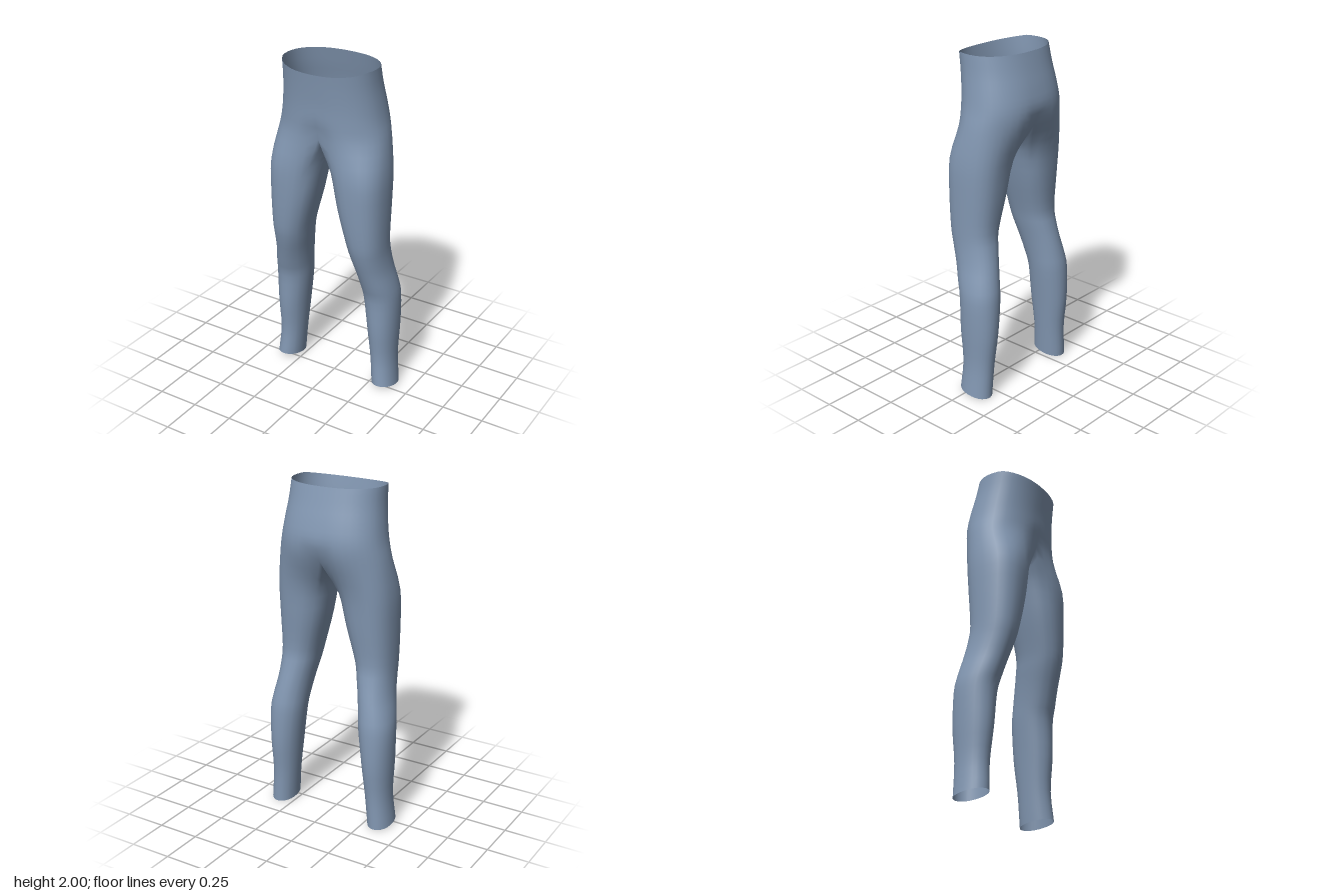
import * as THREE from 'three';
import { mergeVertices } from 'three/addons/utils/BufferGeometryUtils.js';

const OUTER = 20;  // steps around the outside of one leg, front centre to back centre
const INNER = 10;  // steps along the inside of the leg
const STEPS = 3;   // rows between two key sections

// hip sections: y, half width, back z, front z, groove depth at the centre line
const HIPS = [
  [2.0, 0.28, -0.16, 0.225, 0],
  [1.9, 0.285, -0.185, 0.215, 0],
  [1.8, 0.297, -0.212, 0.205, 0.01],
  [1.7, 0.312, -0.229, 0.2, 0.03],
  [1.59, 0.335, -0.217, 0.2, 0.16],
];
// leg sections: y, inner x, outer x, back z, front z, squareness
const LEGS = [
  [1.4, 0.035, 0.36, -0.145, 0.2, 2.4],
  [1.2, 0.08, 0.362, -0.122, 0.196, 2.4],
  [1.0, 0.132, 0.36, -0.102, 0.18, 2.3],
  [0.9, 0.152, 0.362, -0.115, 0.16, 2.2],
  [0.8, 0.172, 0.373, -0.137, 0.13, 2.1],
  [0.7, 0.188, 0.393, -0.157, 0.1, 2.1],
  [0.6, 0.2, 0.405, -0.17, 0.075, 2.1],
  [0.4, 0.225, 0.402, -0.17, 0.068, 2.1],
  [0.2, 0.246, 0.395, -0.15, 0.05, 2.1],
  [0.015, 0.262, 0.41, -0.145, 0.06, 2.1],
];

const power = (v, p) => Math.sign(v) * Math.pow(Math.abs(v), 2 / p);

// point on a half section of the hips, angle 0 = front, PI = back
function hipPoint([y, w, back, front, groove], angle, row) {
  const mid = (front + back) / 2, depth = (front - back) / 2;
  const x = w * power(Math.max(0, Math.sin(angle)), 2.25);
  let z = mid + depth * power(Math.cos(angle), 2.25);
  z *= 1 - groove * Math.exp(-((x / 0.09) ** 2));
  const dip = row === 0 ? 0.025 * Math.max(0, (z - 0.1) / 0.125) : 0;
  return new THREE.Vector3(x < 1e-5 ? 0 : x, y - dip, z);
}

// point on a leg section, angle 0 = front, PI / 2 = outside
function legPoint([y, inner, outer, back, front, p], angle, row) {
  const x = (inner + outer) / 2 + (outer - inner) / 2 * power(Math.sin(angle), p);
  const z = (front + back) / 2 + (front - back) / 2 * power(Math.cos(angle), p);
  const hem = row === LEGS.length - 1;
  return new THREE.Vector3(x, hem ? 0.03 * (z - back) / (front - back) : y, z);
}

// lengthwise lines of one half; inner lines start at the crotch seam
function halfColumns() {
  const columns = [];
  const lastHip = HIPS[HIPS.length - 1];
  const seamFront = hipPoint(lastHip, 0, 1), seamBack = hipPoint(lastHip, Math.PI, 1);
  for (let j = 0; j < OUTER + INNER; j++) {
    const outside = j <= OUTER;
    let keys, angle;
    if (outside) {
      const phi = Math.PI * j / OUTER;
      angle = -Math.PI / 4 + phi * 1.5;
      keys = HIPS.map((h, i) => hipPoint(h, phi, i));
    } else {
      const t = (j - OUTER) / INNER;
      angle = Math.PI * (1.25 + 0.5 * t);
      const bow = Math.abs(2 * t - 1) ** 2;
      keys = [new THREE.Vector3(0, 1.475 + (lastHip[0] - 1.475) * bow,
        THREE.MathUtils.lerp(seamBack.z, seamFront.z, t))];
    }
    LEGS.forEach((l, i) => keys.push(legPoint(l, angle, i)));
    const points = new THREE.CatmullRomCurve3(keys, false, 'catmullrom', 0.5)
      .getPoints((keys.length - 1) * STEPS);
    const hipRows = (HIPS.length - 1) * STEPS;
    if (j === 0 || j === OUTER) for (let i = 0; i <= hipRows; i++) points[i].x = 0;
    // pad inner lines so that rows match
    columns.push(outside ? points : [...Array(hipRows).fill(null), ...points]);
  }
  return columns;
}

function trousersGeometry() {
  const columns = halfColumns(), count = columns.length, positions = [];
  const triangle = (a, b, c) => {
    for (const v of [a, b, c]) positions.push(v.x, v.y, v.z);
    for (const v of [a, c, b]) positions.push(v.x === 0 ? 0 : -v.x, v.y, v.z);
  };
  for (let j = 0; j < count; j++) {
    const left = columns[j], right = columns[(j + 1) % count];
    for (let i = 0; i < left.length - 1; i++) {
      if (!left[i] || !right[i] || (j >= OUTER && i < (HIPS.length - 1) * STEPS)) continue;
      triangle(left[i], left[i + 1], right[i + 1]);
      triangle(left[i], right[i + 1], right[i]);
    }
  }
  const geometry = new THREE.BufferGeometry();
  geometry.setAttribute('position', new THREE.Float32BufferAttribute(positions, 3));
  const merged = mergeVertices(geometry, 1e-4);
  merged.computeVertexNormals();
  return merged;
}

export function createModel() {
  const group = new THREE.Group();
  group.name = 'trousers';
  const cloth = new THREE.MeshStandardMaterial({ color: 0x8398b3, side: THREE.DoubleSide });
  cloth.name = 'blue grey cloth';
  const mesh = new THREE.Mesh(trousersGeometry(), cloth);
  mesh.name = 'hipsAndLegs';
  group.add(mesh);
  return group;
}
